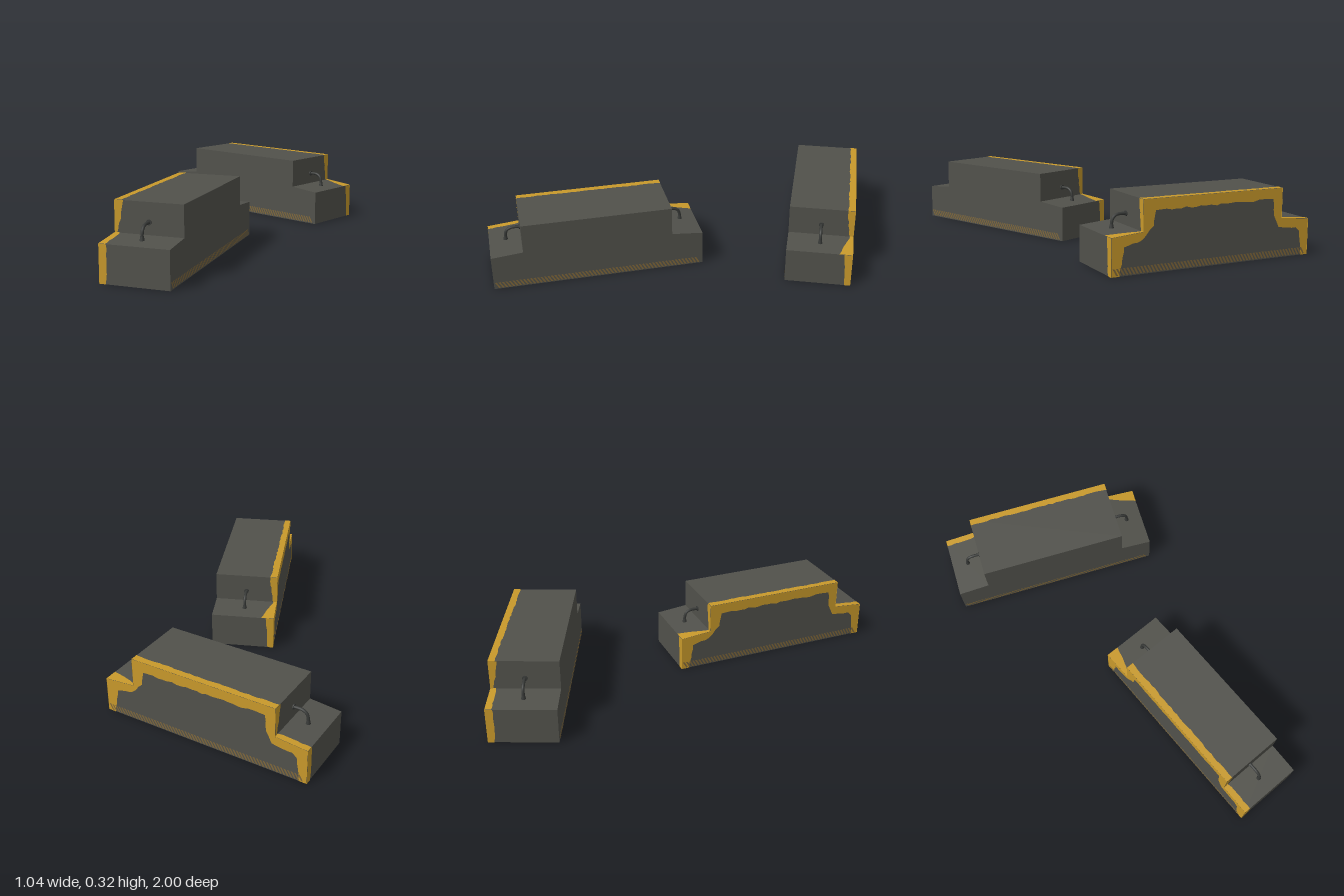
import * as THREE from 'three';

const HALF_W = 0.153, HALF_L = 0.498;
// Stepped side outline as (z, y), from the rear foot over the top to the front foot
const PROFILE = [
  [-HALF_L, 0], [-HALF_L, 0.165], [-0.35, 0.178], [-0.35, 0.315],
  [0.35, 0.315], [0.35, 0.178], [HALF_L, 0.165], [HALF_L, 0],
];
// Width of worn paint at the start and end of each outline segment
const PAINT_WIDTHS = [[0.03, 0.035], [0.06, 0.015], [0.02, 0.035], [0.032, 0.028], [0.04, 0.014], [0.025, 0.03], [0.035, 0.03]];
// Ragged inner limit of the paint on the side face, front foot to rear foot
const PAINT_LIMIT = [
  [0.462, 0], [0.452, 0.11], [0.43, 0.13], [0.335, 0.14], [0.31, 0.19], [0.302, 0.268],
  [-0.292, 0.265], [-0.302, 0.2], [-0.355, 0.145], [-0.44, 0.122], [-0.46, 0],
];

const mat = (name, color, side = THREE.FrontSide) => {
  const m = new THREE.MeshStandardMaterial({ color, side });
  m.name = name;
  return m;
};

function seeded(seed) {
  return () => {
    seed = (seed * 16807) % 2147483647;
    return seed / 2147483647 - 0.5;
  };
}

function add(group, name, geometry, material) {
  const mesh = new THREE.Mesh(geometry, material);
  mesh.name = name;
  group.add(mesh);
  return mesh;
}

const toShape = pts => new THREE.Shape(pts.map(p => new THREE.Vector2(p[0], p[1])));

// Ragged paint strip lying on one segment of the outline, along the -x edge
function paintStrip([z0, y0], [z1, y1], [w0, w1], rand) {
  const len = Math.hypot(z1 - z0, y1 - y0);
  const nz = -(y1 - y0) / len * 0.0012, ny = (z1 - z0) / len * 0.0012;
  const steps = Math.max(6, Math.round(len / 0.02));
  const pos = [], index = [];
  for (let i = 0; i <= steps; i++) {
    const t = i / steps;
    const y = y0 + (y1 - y0) * t + ny, z = z0 + (z1 - z0) * t + nz;
    const w = w0 + (w1 - w0) * t + rand() * 0.006;
    pos.push(-HALF_W - 0.0012, y, z, -HALF_W + w, y, z);
    if (i < steps) {
      const a = i * 2;
      index.push(a, a + 2, a + 1, a + 1, a + 2, a + 3);
    }
  }
  const g = new THREE.BufferGeometry();
  g.setAttribute('position', new THREE.Float32BufferAttribute(pos, 3));
  g.setIndex(index);
  g.computeVertexNormals();
  return g;
}

// Side paint: the outline with a ragged area left bare in the middle
function sidePaint(rand) {
  const inner = [];
  PAINT_LIMIT.forEach((p, i) => {
    inner.push(p);
    const q = PAINT_LIMIT[i + 1];
    if (!q) return;
    const n = Math.max(1, Math.round(Math.hypot(q[0] - p[0], q[1] - p[1]) / 0.025));
    for (let k = 1; k < n; k++) {
      const t = k / n;
      inner.push([p[0] + (q[0] - p[0]) * t + rand() * 0.006, p[1] + (q[1] - p[1]) * t + rand() * 0.008]);
    }
  });
  return new THREE.ShapeGeometry(toShape([...PROFILE, ...inner]));
}

// Row of slanted hazard marks along the foot of a long side
function hazardMarks() {
  const shapes = [], count = 60, pitch = (2 * HALF_L - 0.03) / count;
  for (let i = 0; i < count; i++) {
    const x = -HALF_L + 0.005 + i * pitch;
    shapes.push(toShape([[x + 0.017, 0.005], [x + 0.026, 0.005], [x + 0.009, 0.035], [x, 0.035]]));
  }
  return new THREE.ShapeGeometry(shapes);
}

// Bent lifting handle from the ledge into the raised block
function liftingHook(iron) {
  const hook = new THREE.Group();
  hook.name = 'liftingHook';
  const path = new THREE.CatmullRomCurve3([
    [0.42, 0.165], [0.419, 0.2], [0.411, 0.219], [0.393, 0.23], [0.345, 0.231],
  ].map(([z, y]) => new THREE.Vector3(0, y, z)));
  add(hook, 'hookBar', new THREE.TubeGeometry(path, 20, 0.007, 10), iron);
  add(hook, 'hookFoot', new THREE.CylinderGeometry(0.007, 0.011, 0.02, 12), iron).position.set(0, 0.18, 0.42);
  const collar = add(hook, 'hookCollar', new THREE.CylinderGeometry(0.012, 0.012, 0.006, 12), iron);
  collar.rotation.x = Math.PI / 2;
  collar.position.set(0, 0.231, 0.352);
  return hook;
}

function barrier(mats) {
  const g = new THREE.Group();
  const rand = seeded(421);

  // Stepped concrete block
  const body = new THREE.ExtrudeGeometry(toShape(PROFILE), { depth: 2 * HALF_W, bevelEnabled: false });
  body.translate(0, 0, -HALF_W).rotateY(-Math.PI / 2);
  add(g, 'concreteBlock', body, mats.concrete);

  // Worn paint round one long edge
  PAINT_WIDTHS.forEach((w, i) =>
    add(g, 'edgePaint', paintStrip(PROFILE[i], PROFILE[i + 1], w, rand), mats.paint));
  const side = add(g, 'sidePaint', sidePaint(rand), mats.paint);
  side.rotation.y = -Math.PI / 2;
  side.position.x = -HALF_W - 0.0012;

  // Faded marks on both long sides
  for (const s of [-1, 1]) {
    const marks = add(g, 'hazardMarks', hazardMarks(), mats.faded);
    marks.rotation.y = s * Math.PI / 2;
    marks.position.x = s * (HALF_W + 0.002);
  }

  // Handle at each end
  for (const turn of [0, Math.PI]) {
    const hook = liftingHook(mats.iron);
    hook.rotation.y = turn;
    g.add(hook);
  }
  return g;
}

export function createModel() {
  const mats = {
    concrete: mat('dark concrete', 0x51514b),
    paint: mat('yellow paint', 0xc8992b, THREE.DoubleSide),
    faded: mat('faded hazard paint', 0x80683a, THREE.DoubleSide),
    iron: mat('dark iron', 0x383a38),
  };
  const model = new THREE.Group();
  model.name = 'roadBarriers';

  // Straight barrier in front, angled one behind
  const front = barrier(mats);
  front.name = 'frontBarrier';
  front.position.z = 0.502;
  const rear = barrier(mats);
  rear.name = 'rearBarrier';
  rear.position.z = -0.667;
  rear.rotation.y = -1.969;
  model.add(front, rear);
  return model;
}
